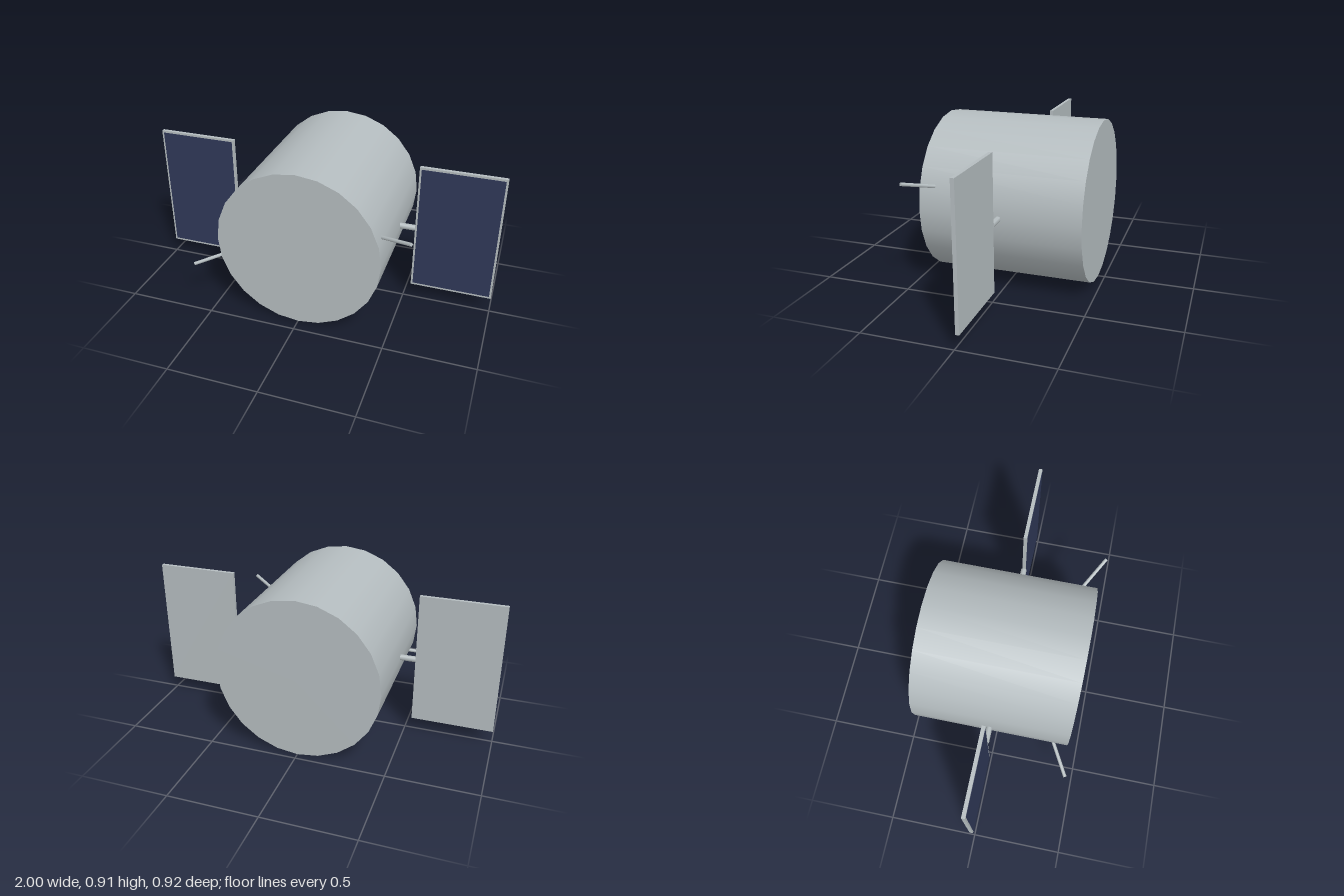
import * as THREE from 'three';

export function createModel() {
  const model = new THREE.Group();
  model.name = 'satellite';

  const metal = new THREE.MeshStandardMaterial({ color: 0xb4bcbf });
  metal.name = 'pale grey metal';
  const cells = new THREE.MeshStandardMaterial({ color: 0x2f3858 });
  cells.name = 'navy solar cells';

  const CY = 0.456, PANEL_Z = -0.017;

  function add(name, geometry, material) {
    const mesh = new THREE.Mesh(geometry, material);
    mesh.name = name;
    model.add(mesh);
    return mesh;
  }

  // Round bar running from point a to point b
  function rod(name, a, b, radius) {
    const dir = b.clone().sub(a);
    const mesh = add(name, new THREE.CylinderGeometry(radius, radius, dir.length(), 8), metal);
    mesh.position.copy(a).add(b).multiplyScalar(0.5);
    mesh.quaternion.setFromUnitVectors(new THREE.Vector3(0, 1, 0), dir.normalize());
  }

  // Drum body lying along z
  const body = add('body', new THREE.CylinderGeometry(0.456, 0.456, 0.89, 24).rotateX(Math.PI / 2), metal);
  body.position.set(0, CY, -0.017);

  for (const s of [1, -1]) {
    const side = s > 0 ? 'left' : 'right';

    // Solar wing: frame slab with a thin cell plate on the front
    add(side + 'PanelFrame', new THREE.BoxGeometry(0.46, 0.755, 0.02), metal)
      .position.set(s * 0.77, CY + 0.002, PANEL_Z);
    add(side + 'SolarCells', new THREE.BoxGeometry(0.438, 0.731, 0.004), cells)
      .position.set(s * 0.77, CY + 0.002, PANEL_Z + 0.0095);

    // Strut joining the wing to the body
    rod(side + 'Strut', new THREE.Vector3(s * 0.42, CY, PANEL_Z), new THREE.Vector3(s * 0.541, CY, PANEL_Z), 0.017);

    // Antennas tilt up on one side and down on the other
    rod(side + 'Antenna',
      new THREE.Vector3(s * 0.415, CY + s * 0.13, 0.337),
      new THREE.Vector3(s * 0.605, CY + s * 0.188, 0.45), 0.01);
  }
  return model;
}
